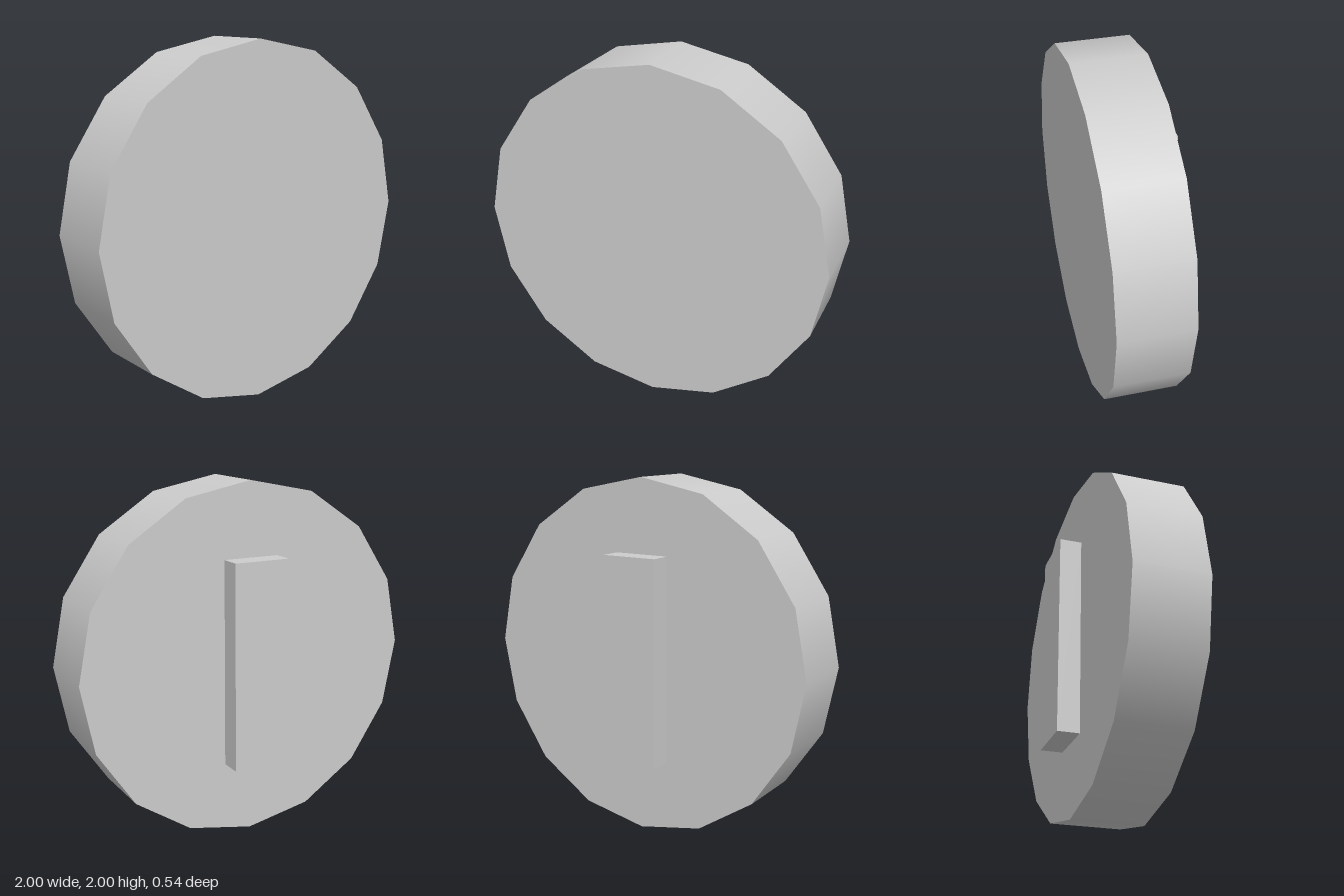
import * as THREE from 'three';

export function createModel() {
  const model = new THREE.Group();
  const grey = new THREE.MeshStandardMaterial({ color: 0xcccccc });
  grey.name = 'light grey';

  const add = (name, geometry, x, y, z) => {
    const mesh = new THREE.Mesh(geometry, grey);
    mesh.name = name;
    mesh.position.set(x, y, z);
    model.add(mesh);
  };

  // Sixteen-sided disc with a smooth rim, facing front
  add('disc', new THREE.CylinderGeometry(1, 1, 0.415, 16).rotateX(Math.PI / 2), 0, 1, 0.0625);

  // Upright bar on the back of the disc
  add('backBar', new THREE.BoxGeometry(0.325, 1.165, 0.125), -0.003, 1.0025, -0.2075);

  return model;
}
